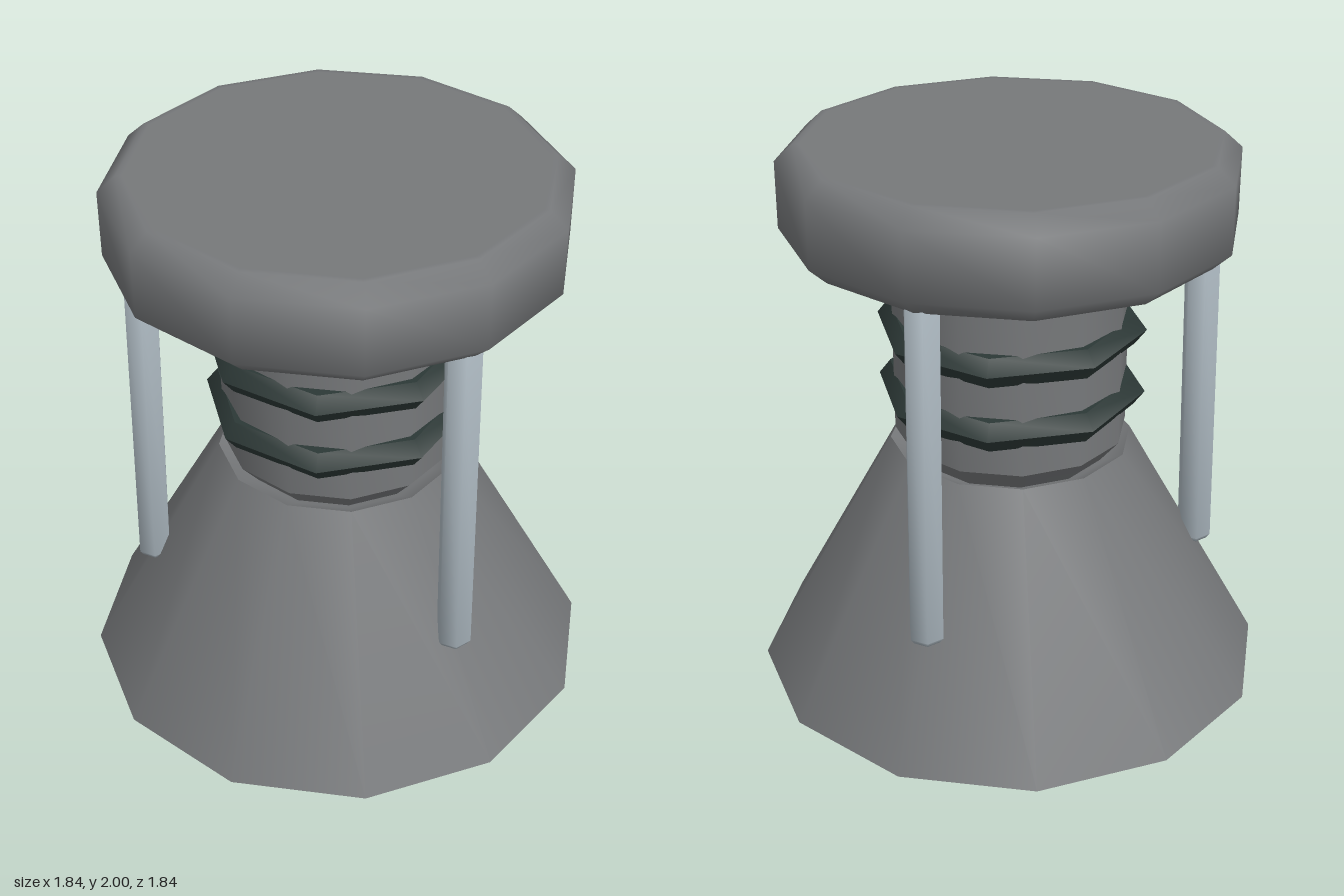
import * as THREE from 'three';
import { toCreasedNormals } from 'three/addons/utils/BufferGeometryUtils.js';

const material = (name, color) => {
  const m = new THREE.MeshStandardMaterial({ color });
  m.name = name;
  return m;
};

// Faceted turned solid; the profile runs from the bottom up as [radius, y]
function turned(name, profile, sides, mat, { phi = 0, crease = 1.0 } = {}) {
  const points = profile.map(([r, y]) => new THREE.Vector2(r, y));
  const geometry = toCreasedNormals(new THREE.LatheGeometry(points, sides, phi), crease);
  const mesh = new THREE.Mesh(geometry, mat);
  mesh.name = name;
  return mesh;
}

export function createModel() {
  const grey = material('dark grey metal', 0x76787a);
  const steel = material('light steel', 0xadb9c1);
  const rubber = material('black green rubber', 0x2c3836);
  const teal = material('teal lining', 0x65b8cb);

  const model = new THREE.Group();
  model.name = 'nozzle';

  // Flared skirt with a thin rim and a dished top, and its coloured lining
  model.add(turned('skirt', [
    [0.845, 0], [0.92, 0.02], [0.43, 0.905], [0.36, 0.865], [0, 0.865],
  ], 12, grey, { crease: 0.6 }));
  model.add(turned('skirtLining', [[0, 0.85], [0.365, 0.85], [0.845, 0]], 12, teal));

  // Neck with a bevelled foot sitting in the dish
  model.add(turned('neck', [
    [0.345, 0.865], [0.412, 0.945], [0.412, 1.68],
  ], 12, grey, { crease: 0.6 }));

  // Two diamond-section rings around the neck
  for (const y of [1.103, 1.338]) {
    const ring = turned('neckRing', [
      [0.38, -0.053], [0.435, -0.053], [0.475, 0], [0.435, 0.053], [0.38, 0.053],
    ], 8, rubber, { crease: 0.8 });
    ring.position.y = y;
    model.add(ring);
  }

  // Bevelled cap with flat faces
  model.add(turned('cap', [
    [0, 1.652], [0.7, 1.652], [0.72, 1.652], [0.783, 1.71],
    [0.783, 1.943], [0.72, 2], [0.7, 2], [0, 2],
  ], 12, grey));

  // Three hexagonal rods leaning slightly outward below the cap
  for (let i = 0; i < 3; i++) {
    const arm = new THREE.Group();
    arm.name = 'rodMount';
    arm.rotation.y = (i * Math.PI * 2) / 3;
    const rod = turned('rod', [
      [0, 0], [0.05, 0], [0.063, 0.018], [0.063, 1.23], [0.05, 1.248], [0, 1.248],
    ], 6, steel, { phi: Math.PI / 6, crease: 1.08 });
    rod.position.set(0, 0.435, 0.686);
    rod.rotation.x = -0.017;
    arm.add(rod);
    model.add(arm);
  }
  return model;
}
